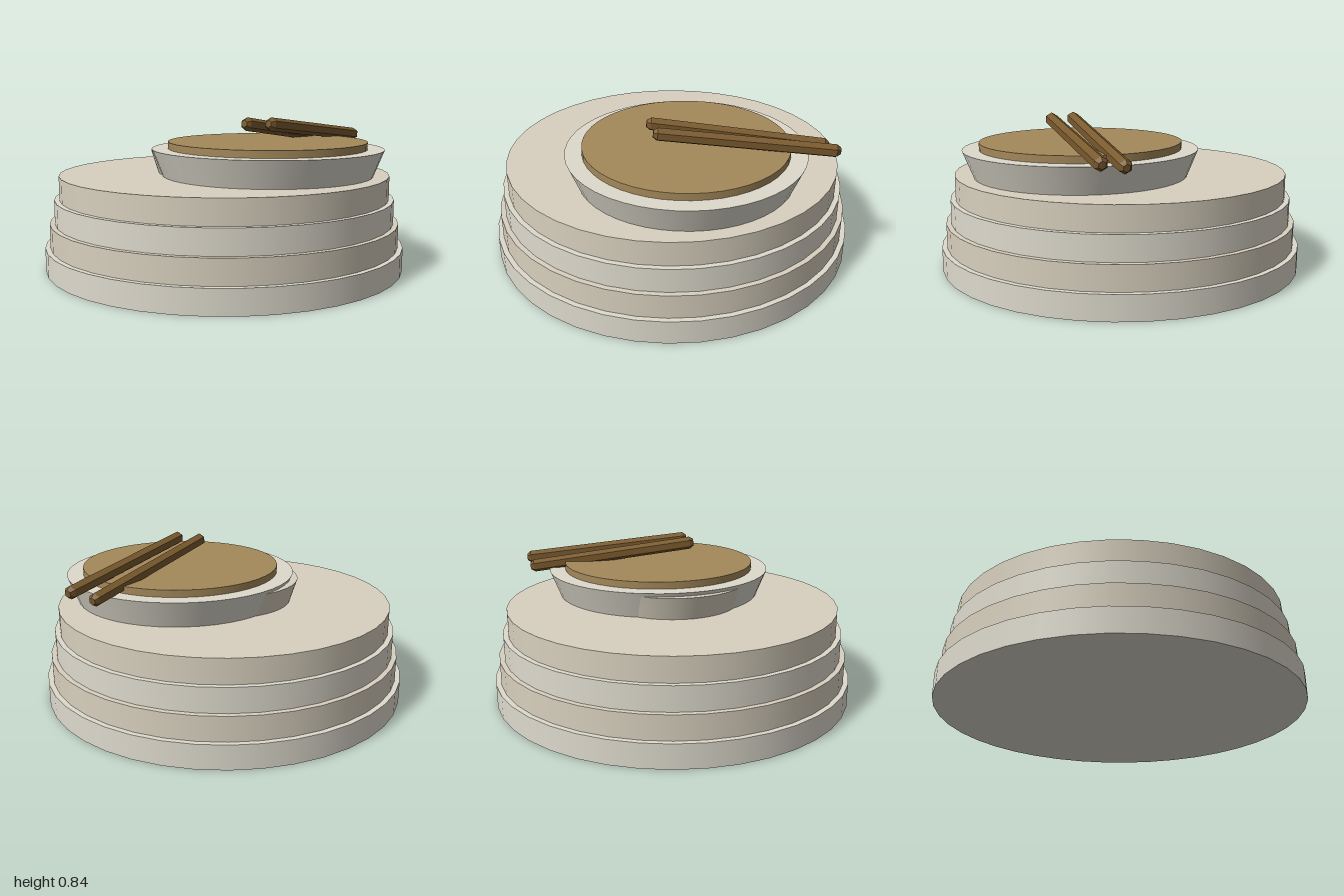
import * as THREE from 'three';

const CREAM = 0xd8d0be, PALE = 0xdedacd, BROTH = 0xa3885a, WOOD = 0x7a5a2e;

function add(parent, name, geometry, color, flatShading = false) {
  const mesh = new THREE.Mesh(geometry, new THREE.MeshStandardMaterial({ color, flatShading }));
  mesh.name = name;
  parent.add(mesh);
  return mesh;
}

// Upright round part between two heights
function disc(parent, name, rTop, rBottom, y0, y1, color, offset = 0, sides = 40) {
  const mesh = add(parent, name, new THREE.CylinderGeometry(rTop, rBottom, y1 - y0, sides), color);
  mesh.position.set(offset, (y0 + y1) / 2, offset);
  return mesh;
}

// Six-sided stick with chamfered ends, laid from a to b
function stick(parent, name, a, b) {
  const start = new THREE.Vector3(...a), end = new THREE.Vector3(...b);
  const dir = end.clone().sub(start), h = dir.length() / 2, r = 0.036;
  const profile = [[0, -h], [0.02, -h], [r, -h + 0.022], [r, h - 0.022], [0.02, h], [0, h]]
    .map(([x, y]) => new THREE.Vector2(x, y));
  const mesh = add(parent, name, new THREE.LatheGeometry(profile, 6), WOOD, true);
  mesh.position.copy(start).add(end).multiplyScalar(0.5);
  mesh.quaternion.setFromUnitVectors(new THREE.Vector3(0, 1, 0), dir.normalize());
}

export function createModel() {
  const model = new THREE.Group();
  model.name = 'stackedDishes';

  // Stack of plates, each a little smaller than the one below
  const plates = new THREE.Group();
  plates.name = 'plateStack';
  model.add(plates);
  for (let i = 0; i < 4; i++) {
    const r = 1 - i * 0.0277;
    disc(plates, 'plate' + (i + 1), r, r, i * 0.13, (i + 1) * 0.13, i % 2 ? CREAM : PALE);
  }

  // Small centred bowl, mostly covered by the larger off-centre one
  disc(model, 'smallBowl', 0.41, 0.37, 0.52, 0.645, CREAM);
  disc(model, 'bowl', 0.635, 0.578, 0.52, 0.665, PALE, 0.182, 48);
  disc(model, 'broth', 0.545, 0.545, 0.6, 0.703, BROTH, 0.182, 48);

  // Pair of chopsticks leaning across the bowl
  const sticks = new THREE.Group();
  sticks.name = 'chopsticks';
  model.add(sticks);
  stick(sticks, 'chopstickBack', [0.0, 0.806, 0.277], [0.83, 0.672, -0.19]);
  stick(sticks, 'chopstickFront', [0.094, 0.808, 0.375], [0.922, 0.698, -0.097]);
  return model;
}
